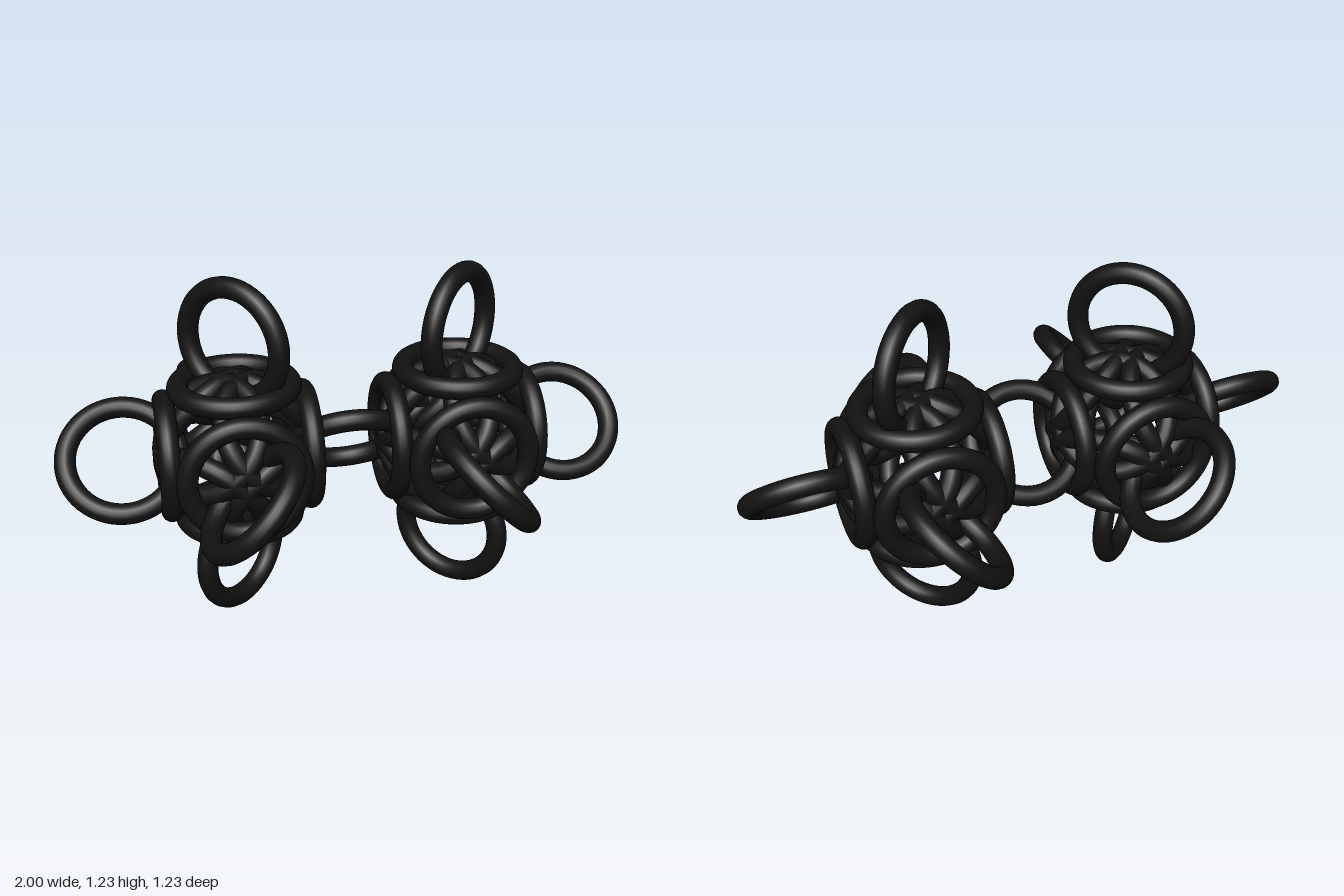
import * as THREE from 'three';

// Every ring in the chain has the same size
const RING = new THREE.TorusGeometry(0.19, 0.036, 16, 56);
const METAL = new THREE.MeshStandardMaterial({ color: 0x121212 });
const LINK = 0.387;   // ball centre to the centre of a connecting ring
const FACE = 0.238;   // ball centre to the centre of a face ring
const CORNER = 0.166; // ball centre to the centre of a corner ring
const HEIGHT = 0.613;

function addRing(parent, name, position, normal) {
  const ring = new THREE.Mesh(RING, METAL);
  ring.name = name;
  ring.position.copy(position);
  ring.quaternion.setFromUnitVectors(new THREE.Vector3(0, 0, 1), normal.clone().normalize());
  parent.add(ring);
}

// Hollow ball of six face rings woven with eight corner rings
function createBall() {
  const ball = new THREE.Group();
  ball.name = 'wovenBall';
  for (let axis = 0; axis < 3; axis++) {
    for (const s of [-1, 1]) {
      const dir = new THREE.Vector3().setComponent(axis, s);
      addRing(ball, 'faceRing', dir.clone().multiplyScalar(FACE), dir);
    }
  }
  for (const x of [-1, 1]) for (const y of [-1, 1]) for (const z of [-1, 1]) {
    const dir = new THREE.Vector3(x, y, z).normalize();
    addRing(ball, 'cornerRing', dir.clone().multiplyScalar(CORNER), dir);
  }
  return ball;
}

export function createModel() {
  const model = new THREE.Group();
  model.name = 'ringChain';
  for (const side of [-1, 1]) {
    const unit = new THREE.Group();
    unit.name = side < 0 ? 'rightUnit' : 'leftUnit';
    unit.position.set(side * LINK, HEIGHT, 0);
    unit.add(createBall());

    // Connecting rings stand on the diagonals, opposite ones at right angles
    for (let axis = 0; axis < 3; axis++) {
      for (const s of [-1, 1]) {
        // The middle ring is shared, so only one unit makes it
        if (axis === 0 && side > 0 && s < 0) continue;
        const position = new THREE.Vector3().setComponent(axis, s * LINK);
        const normal = new THREE.Vector3()
          .setComponent((axis + 1) % 3, 1)
          .setComponent((axis + 2) % 3, s * side);
        addRing(unit, 'connectingRing', position, normal);
      }
    }
    model.add(unit);
  }
  return model;
}
